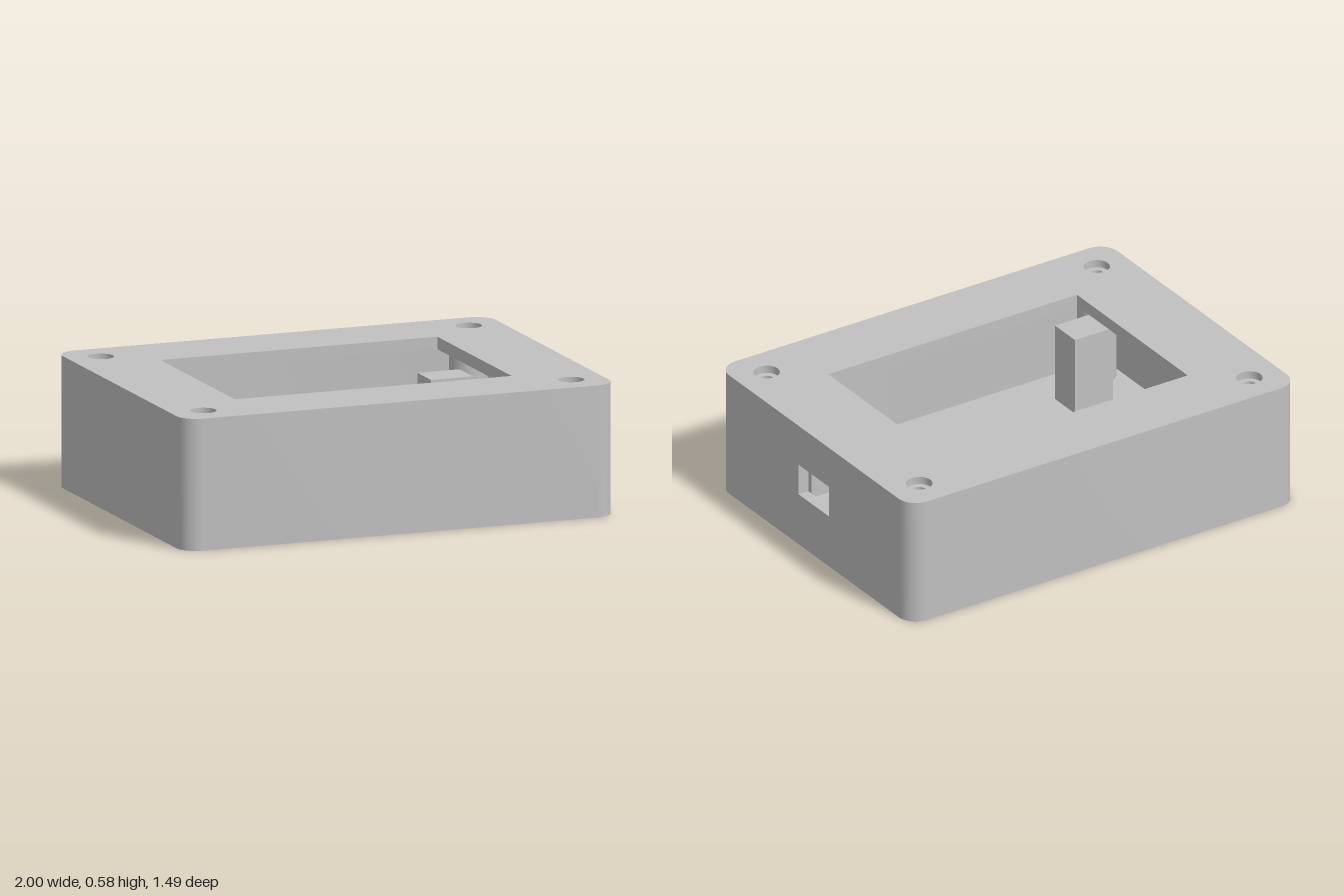
import * as THREE from 'three';
import { toCreasedNormals } from 'three/addons/utils/BufferGeometryUtils.js';

const X = 1, Z = 0.747, H = 0.58;      // outer half sizes and height
const R = 0.09, T = 0.05;              // corner radius and wall thickness
const SCREW = [0.85, 0.593], STANDOFF = [0.373, 0.195];
const LID = 0.055, FLOOR = 0.05;

const corners = (x, z) => [[x, z], [-x, z], [-x, -z], [x, -z]];

// Traces the four rounded corners, counter-clockwise or back again
function traceCorners(path, r, reverse = false) {
  const centres = corners(X - R, Z - R).map(([x, z], i) => [x, z, i * Math.PI / 2]);
  if (reverse) centres.reverse();
  for (const [x, z, a] of centres) {
    const b = a + Math.PI / 2;
    path.absarc(x, z, r, reverse ? b : a, reverse ? a : b, reverse);
  }
  return path;
}

function rectHole(shape, x, y, w, h) {
  shape.holes.push(new THREE.Path([
    [x - w / 2, y - h / 2], [x - w / 2, y + h / 2], [x + w / 2, y + h / 2], [x + w / 2, y - h / 2],
  ].map(p => new THREE.Vector2(...p))));
}

function roundHole(shape, x, y, r) {
  shape.holes.push(new THREE.Path().absarc(x, y, r, 0, Math.PI * 2, true));
}

export function createModel() {
  const model = new THREE.Group();
  model.name = 'enclosure';
  const grey = new THREE.MeshStandardMaterial({ color: 0xc0c0c0 });
  grey.name = 'grey plastic';

  const add = (name, geometry) => {
    const mesh = new THREE.Mesh(geometry, grey);
    mesh.name = name;
    model.add(mesh);
    return mesh;
  };
  const extrude = (shape, depth) => toCreasedNormals(
    new THREE.ExtrudeGeometry(shape, { depth, bevelEnabled: false, curveSegments: 12 }), 0.6);
  // Plan shape raised from y0 to y1
  const slab = (name, shape, y0, y1) =>
    add(name, extrude(shape, y1 - y0).rotateX(-Math.PI / 2).translate(0, y0, 0));

  // Wall around three sides and all corners
  const wall = traceCorners(new THREE.Shape(), R);
  wall.lineTo(X - T, -(Z - R));
  traceCorners(wall, R - T, true);
  wall.closePath();
  slab('wall', wall, 0, H);

  // Side wall with the cable port
  const w = Z - R;
  const side = new THREE.Shape([[-w, 0], [w, 0], [w, H], [-w, H]].map(p => new THREE.Vector2(...p)));
  rectHole(side, 0, 0.317, 0.236, 0.145);
  add('portWall', extrude(side, T).rotateY(Math.PI / 2).translate(X - T, 0, 0));

  // Floor in two layers: foot recesses below, vents through both
  const inside = () => traceCorners(new THREE.Shape(), R - T);
  const vents = shape => {
    for (let i = -2; i <= 2; i++) rectHole(shape, 0, i * 0.076, 0.38, 0.035);
  };
  const base = inside(), floor = inside();
  vents(base);
  vents(floor);
  for (const [x, z] of corners(...SCREW)) roundHole(base, x, z, 0.073);
  slab('baseLayer', base, 0, FLOOR / 2);
  slab('floorLayer', floor, FLOOR / 2, FLOOR);

  // Lid in two layers: wide screw recesses above, narrow holes below
  const lidTop = inside(), lidUnder = inside();
  for (const lid of [lidTop, lidUnder]) rectHole(lid, 0, 0, 1.28, 0.86);
  for (const [x, z] of corners(...SCREW)) {
    roundHole(lidTop, x, z, 0.057);
    roundHole(lidUnder, x, z, 0.03);
  }
  slab('lidTop', lidTop, H - 0.035, H);
  slab('lidUnderside', lidUnder, H - LID, H - 0.035);

  // Hollow round posts: screw bosses and board standoffs
  const post = (name, [x, z], r, bore, top) => {
    const ring = new THREE.Shape().absarc(x, z, r, 0, Math.PI * 2, false);
    roundHole(ring, x, z, bore);
    slab(name, ring, FLOOR, top);
  };
  for (const p of corners(...SCREW)) post('screwBoss', p, 0.085, 0.03, H - LID);
  for (const p of corners(...STANDOFF)) post('standoff', p, 0.05, 0.02, 0.13);

  // Rectangular pillars under the window corners
  const pillarTop = 0.41;
  for (const [x, z] of corners(0.678, 0.433)) {
    const box = new THREE.BoxGeometry(0.195, pillarTop - FLOOR, 0.156);
    add('pillar', box).position.set(x, (pillarTop + FLOOR) / 2, z);
  }
  return model;
}
